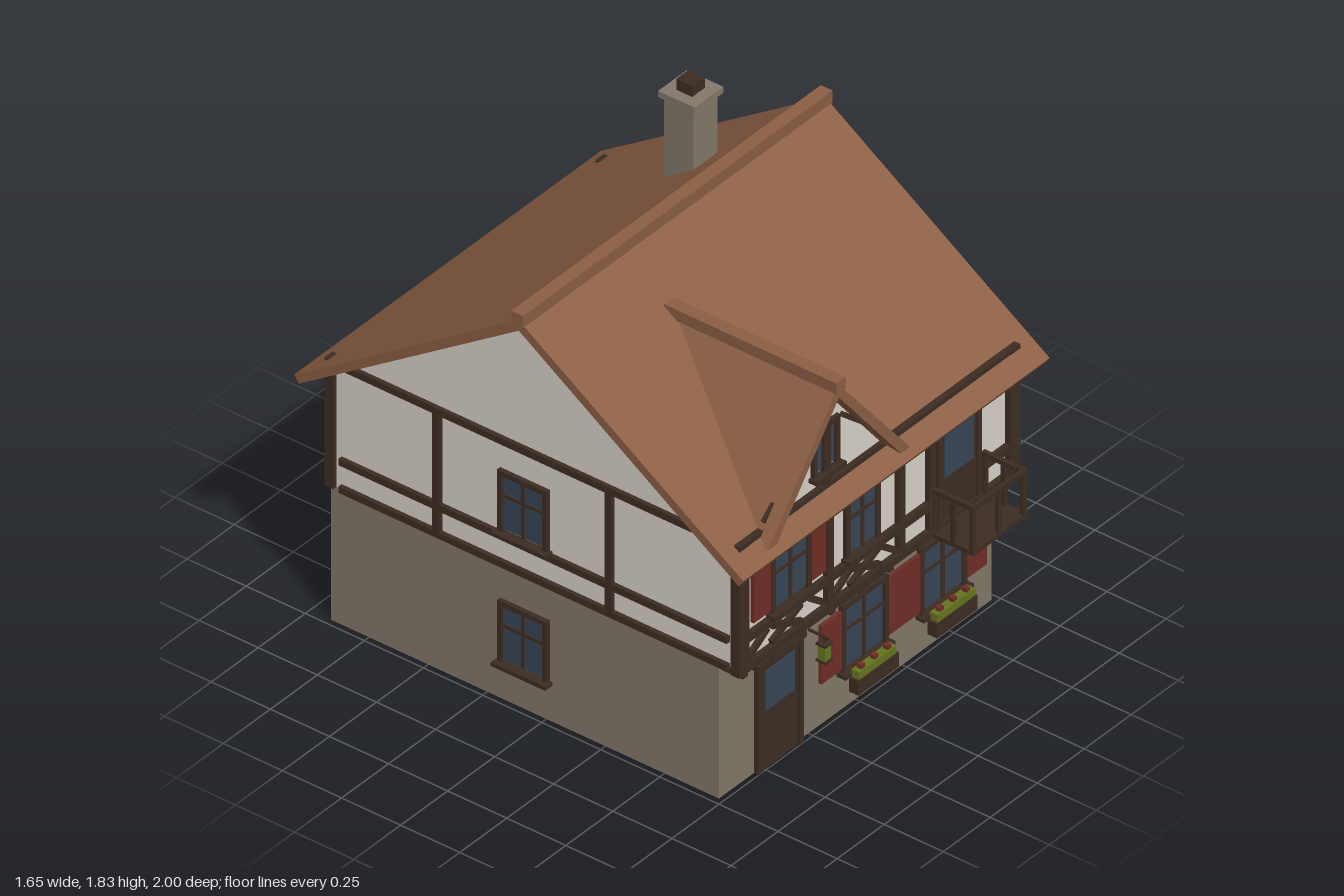
import * as THREE from 'three';

const mat = (name, color) => {
  const m = new THREE.MeshStandardMaterial({ color });
  m.name = name;
  return m;
};

export function createModel() {
  const roofTile = mat('roof tile', 0x8b5e43);
  const plaster = mat('plaster', 0xd8d3c8);
  const stone = mat('stone', 0x83786a);
  const wood = mat('dark timber', 0x3d2d23);
  const glass = mat('window glass', 0x384656);
  const red = mat('shutter red', 0x702d26);
  const green = mat('leaf green', 0x65751f);

  const house = new THREE.Group();
  house.name = 'house';

  const add = (parent, name, geo, material) => {
    const m = new THREE.Mesh(geo, material);
    m.name = name;
    parent.add(m);
    return m;
  };
  // Box given by its extents on each axis
  const box = (parent, name, material, x0, x1, y0, y1, z0, z1) => {
    const m = add(parent, name, new THREE.BoxGeometry(x1 - x0, y1 - y0, z1 - z0), material);
    m.position.set((x0 + x1) / 2, (y0 + y1) / 2, (z0 + z1) / 2);
    return m;
  };
  const group = (name, x, y, z, turn = 0) => {
    const g = new THREE.Group();
    g.name = name;
    g.position.set(x, y, z);
    g.rotation.y = turn;
    house.add(g);
    return g;
  };
  const prism = (points, depth) => new THREE.ExtrudeGeometry(
    new THREE.Shape(points.map(p => new THREE.Vector2(...p))), { depth, bevelEnabled: false });
  // Profile in (z, y), extruded across x and centred
  const across = (points, width) => prism(points, width).translate(0, 0, -width / 2).rotateY(-Math.PI / 2);
  // Slanted timber on a front wall
  const brace = (name, x0, y0, x1, y1, z, t = 0.022, d = 0.018) => {
    const m = add(house, name, new THREE.BoxGeometry(Math.hypot(x1 - x0, y1 - y0), t, d), wood);
    m.position.set((x0 + x1) / 2, (y0 + y1) / 2, z);
    m.rotation.z = Math.atan2(y1 - y0, x1 - x0);
  };

  // Hollow walls, open underneath
  const W = 0.725, T = 0.03, BACK = -0.91, G = 0.73, U = 0.81;
  for (const s of [-1, 1]) {
    const a = Math.min(s * W, s * (W - T)), b = a + T;
    box(house, 'groundSideWall', stone, a, b, 0, 0.55, BACK, G);
    const gable = [[U, 0.55], [U, 1.033], [-0.045, 1.612], [BACK, 1.027], [BACK, 0.55]];
    add(house, 'upperSideWall', across(gable, T), plaster).position.x = s * (W - T / 2);
  }
  box(house, 'groundFrontWall', stone, -W + T, W - T, 0, 0.55, G - T, G);
  box(house, 'groundBackWall', stone, -W + T, W - T, 0, 0.55, BACK, BACK + T);
  box(house, 'upperFrontWall', plaster, -W + T, W - T, 0.55, 1.03, U - T, U);
  box(house, 'upperBackWall', plaster, -W + T, W - T, 0.55, 1.02, BACK, BACK + T);
  box(house, 'overhangFloor', wood, -W, W, 0.542, 0.556, G - T, 0.82);

  // Main roof and ridge
  const roof = [[0.905, 1.01], [-0.045, 1.65], [-0.995, 1.01], [-0.975, 0.981], [-0.045, 1.608], [0.885, 0.981]];
  add(house, 'mainRoof', across(roof, 1.63), roofTile);
  box(house, 'ridgeCap', roofTile, -0.823, 0.823, 1.635, 1.683, -0.07, -0.02);

  // Chimney
  box(house, 'chimneyStack', stone, 0.368, 0.494, 1.38, 1.757, -0.372, -0.246);
  box(house, 'chimneyCap', stone, 0.355, 0.508, 1.755, 1.78, -0.386, -0.232);
  box(house, 'chimneyPot', wood, 0.398, 0.465, 1.78, 1.825, -0.343, -0.276);

  // Dormer: its back edge follows the slope of the main roof
  const DX = -0.275;
  const hug = geo => {
    const p = geo.attributes.position;
    for (let i = 0; i < p.count; i++) {
      if (p.getZ(i) < 0.5) p.setZ(i, -0.045 + (1.65 - p.getY(i)) / 0.674 - 0.03);
    }
    geo.computeVertexNormals();
    return geo;
  };
  const dormerRoof = [[-0.378, 1.035], [-0.33, 1.035], [0, 1.445], [0.33, 1.035], [0.378, 1.035], [0, 1.497]];
  add(house, 'dormerRoof', hug(prism(dormerRoof, 0.88)), roofTile).position.x = DX;
  box(house, 'dormerRidge', roofTile, DX - 0.025, DX + 0.025, 1.475, 1.52, 0.16, 0.89);
  add(house, 'dormerWall', prism([[-0.335, 1.03], [0.335, 1.03], [0, 1.447]], 0.03), plaster).position.set(DX, 0, 0.785);
  box(house, 'dormerPost', wood, DX - 0.017, DX + 0.017, 1.06, 1.45, U, 0.832);
  for (const s of [-1, 1]) {
    brace('dormerRafter', DX + s * 0.085, 1.307, DX + s * 0.332, 1.098, 0.824, 0.018, 0.014);
  }

  // Front timber frame
  box(house, 'frontBottomBeam', wood, -0.745, 0.745, 0.542, 0.575, 0.8, 0.832);
  box(house, 'frontMiddleBeam', wood, -0.74, 0.3, 0.658, 0.69, U, 0.83);
  box(house, 'frontMiddleBeam', wood, 0.57, 0.74, 0.658, 0.69, U, 0.83);
  box(house, 'frontTopBeam', wood, -0.745, 0.745, 1.045, 1.076, U, 0.834);
  for (const x of [-0.255, 0.125, 0.288]) box(house, 'frontPost', wood, x - 0.016, x + 0.016, 0.56, 1.05, U, 0.83);
  for (const s of [-1, 1]) {
    const a = s * 0.721;
    box(house, 'frontCornerPost', wood, a - 0.026, a + 0.026, 0.545, 1.072, 0.797, 0.835);
    box(house, 'backCornerPost', wood, a - 0.022, a + 0.022, 0.55, 1.07, -0.925, -0.888);
  }
  for (const [x0, x1] of [[-0.69, -0.27], [-0.24, 0.11]]) {
    const c = (x0 + x1) / 2;
    brace('cornerBrace', x0, 0.582, x0 + 0.11, 0.652, 0.818);
    brace('cornerBrace', x1, 0.582, x1 - 0.09, 0.652, 0.818);
    brace('crossBrace', c - 0.08, 0.582, c + 0.08, 0.652, 0.818);
    brace('crossBrace', c - 0.08, 0.652, c + 0.08, 0.582, 0.821);
  }
  brace('eaveBrace', 0.58, 0.94, 0.685, 1.03, 0.818, 0.03);
  for (let i = 0; i < 10; i++) {
    const x = -0.7 + i * 1.4 / 9;
    box(house, 'joistEnd', wood, x - 0.013, x + 0.013, 0.517, 0.545, G, 0.822);
  }

  // Side timber frame
  for (const s of [-1, 1]) {
    const a = Math.min(s * 0.72, s * 0.742), b = a + 0.022;
    for (const [y0, y1] of [[0.545, 0.571], [0.657, 0.684], [1.045, 1.072]]) {
      box(house, 'sideBeam', wood, a, b, y0, y1, -0.866, 0.776);
    }
    for (const z of [0.274, -0.455]) box(house, 'sidePost', wood, a, b, 0.56, 1.05, z - 0.015, z + 0.015);
  }

  // Window facing +z from its bottom centre, with optional shutters
  const makeWindow = (x, y, z, turn, w, h, shutter = 0, bar = true) => {
    const g = group('window', x, y, z, turn), f = 0.02, hw = w / 2;
    box(g, 'glassPane', glass, -hw + f, hw - f, f, h - f, 0, 0.008);
    for (const s of [-1, 1]) {
      const c = s * (hw - f / 2);
      box(g, 'frameSide', wood, c - f / 2, c + f / 2, 0, h, 0, 0.018);
      if (shutter) {
        const m = s * (hw + shutter / 2);
        box(g, 'shutter', red, m - shutter / 2, m + shutter / 2, 0.025, h - 0.02, 0, 0.014);
      }
    }
    box(g, 'frameTop', wood, -hw, hw, h - f, h, 0, 0.018);
    box(g, 'sill', wood, -hw - 0.01, hw + 0.01, -0.004, 0.012, 0, 0.038);
    if (bar) {
      box(g, 'mullion', wood, -0.007, 0.007, f, h - f, 0, 0.014);
      box(g, 'crossbar', wood, -hw + f, hw - f, h * 0.62 - 0.006, h * 0.62 + 0.006, 0, 0.014);
    }
  };
  makeWindow(-0.459, 0.69, U, 0, 0.212, 0.265, 0.092);
  makeWindow(-0.076, 0.69, U, 0, 0.18, 0.265);
  makeWindow(DX, 1.118, U + 0.002, 0, 0.14, 0.2, 0, false);
  for (const x of [0.034, 0.452]) makeWindow(x, 0.15, G, 0, 0.245, 0.28, 0.088 + 0.02);
  for (const s of [-1, 1]) {
    for (const y of [0.15, 0.68]) {
      makeWindow(s * W, y, -0.09, s * Math.PI / 2, 0.21, 0.258);
      makeWindow(s * 0.36, y, BACK, Math.PI, 0.21, 0.26, 0.1);
    }
  }

  // Flower boxes
  for (const x of [0.034, 0.452]) {
    box(house, 'flowerBox', wood, x - 0.108, x + 0.108, 0.087, 0.145, 0.762, 0.803);
    box(house, 'flowerLeaves', green, x - 0.1, x + 0.1, 0.145, 0.175, 0.766, 0.799);
    for (const d of [-0.07, 0, 0.07]) box(house, 'flower', red, x + d - 0.01, x + d + 0.01, 0.172, 0.19, 0.773, 0.793);
  }

  // Doors
  const makeDoor = (name, x, y, z, w, h, gw, g0, g1) => {
    const g = group(name, x, y, z);
    box(g, 'doorLeaf', wood, -w / 2 + 0.02, w / 2 - 0.02, 0, h - 0.02, 0, 0.012);
    for (const s of [-1, 1]) {
      const c = s * (w / 2 - 0.011);
      box(g, 'doorJamb', wood, c - 0.011, c + 0.011, 0, h - 0.01, 0, 0.02);
    }
    box(g, 'lintel', wood, -w / 2 - 0.012, w / 2 + 0.012, h - 0.02, h, 0, 0.024);
    box(g, 'doorGlass', glass, -gw / 2, gw / 2, g0, g1, 0.012, 0.016);
  };
  makeDoor('frontDoor', -0.418, 0, G, 0.24, 0.445, 0.155, 0.235, 0.395);
  makeDoor('balconyDoor', 0.434, 0.55, U, 0.23, 0.425, 0.155, 0.19, 0.385);

  // Balcony
  box(house, 'balconyFloor', wood, 0.288, 0.577, 0.54, 0.556, 0.82, 1);
  box(house, 'frontRail', wood, 0.288, 0.577, 0.718, 0.736, 0.984, 1);
  for (const x of [0.298, 0.567]) {
    box(house, 'sideRail', wood, x - 0.009, x + 0.009, 0.718, 0.736, 0.82, 1);
    for (const z of [0.828, 0.91, 0.991]) box(house, 'railPost', wood, x - 0.01, x + 0.01, 0.55, 0.72, z - 0.008, z + 0.008);
  }
  box(house, 'railPost', wood, 0.425, 0.441, 0.55, 0.72, 0.984, 0.999);

  // Lantern on its bracket
  const lantern = group('lantern', -0.247, 0.325, 0.796);
  box(lantern, 'lanternGlass', green, -0.016, 0.016, 0.008, 0.068, -0.016, 0.016);
  box(lantern, 'lanternBase', wood, -0.021, 0.021, 0, 0.008, -0.021, 0.021);
  box(lantern, 'lanternCap', wood, -0.021, 0.021, 0.066, 0.075, -0.021, 0.021);
  box(lantern, 'lanternHook', wood, -0.004, 0.004, 0.075, 0.1, -0.004, 0.004);
  box(lantern, 'lanternArm', wood, -0.004, 0.004, 0.092, 0.1, -0.066, 0.02);

  return house;
}
